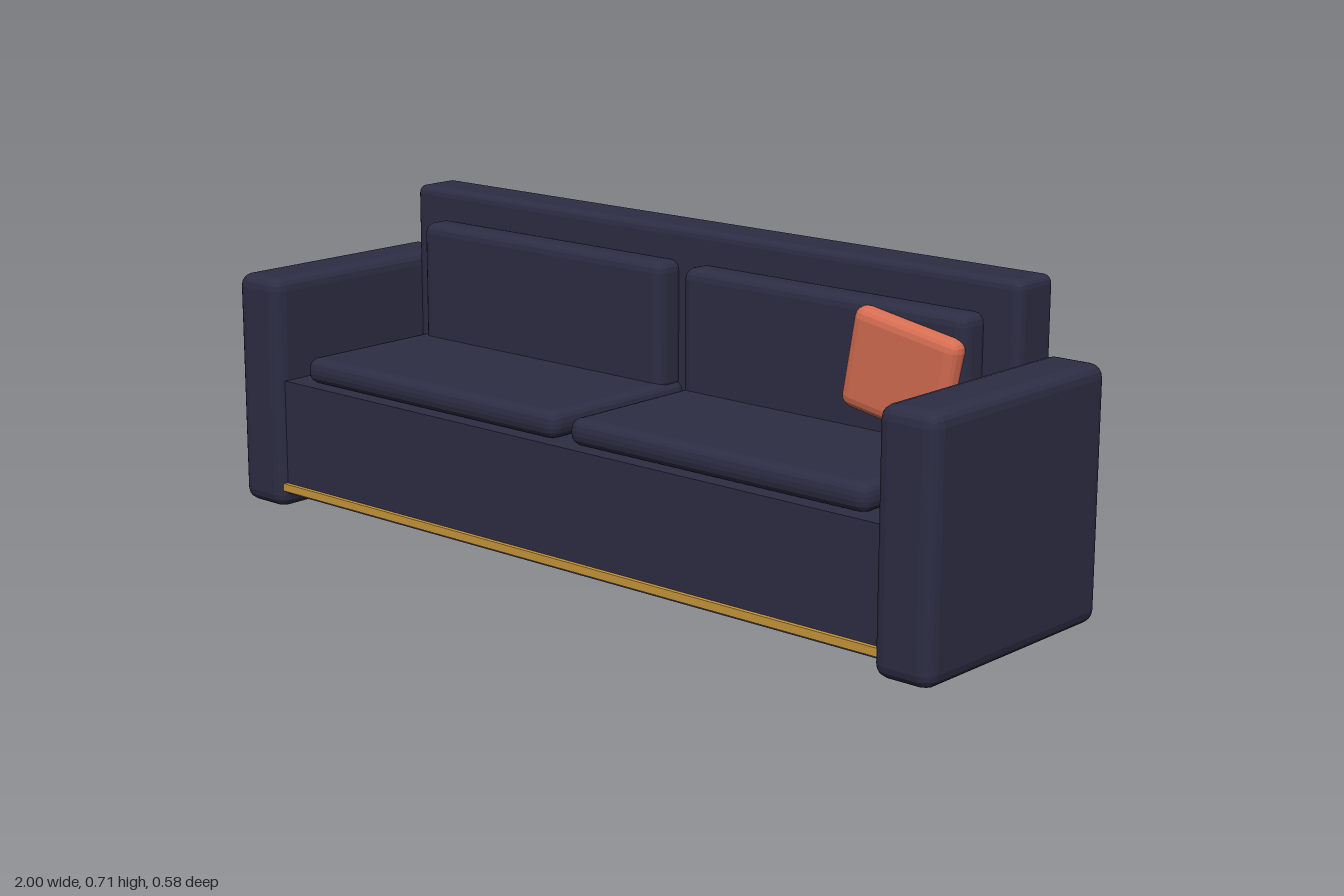
import * as THREE from 'three';
import { RoundedBoxGeometry } from 'three/addons/geometries/RoundedBoxGeometry.js';

export function createModel() {
  const sofa = new THREE.Group();
  sofa.name = 'sofa';

  const fabric = new THREE.MeshStandardMaterial({ name: 'navyFabric', color: 0x2d2d44, flatShading: true });
  const pillowCloth = new THREE.MeshStandardMaterial({ name: 'terracottaCloth', color: 0xd66d52, flatShading: true });
  const brass = new THREE.MeshStandardMaterial({ name: 'brass', color: 0xc9973a, flatShading: true });

  // Box given by its min and max corners; a radius adds a two-step bevel
  function block(name, material, [x0, y0, z0], [x1, y1, z1], radius = 0) {
    const w = x1 - x0, h = y1 - y0, d = z1 - z0;
    const geometry = radius
      ? new RoundedBoxGeometry(w, h, d, 2, radius)
      : new THREE.BoxGeometry(w, h, d);
    const mesh = new THREE.Mesh(geometry, material);
    mesh.name = name;
    mesh.position.set((x0 + x1) / 2, (y0 + y1) / 2, (z0 + z1) / 2);
    sofa.add(mesh);
    return mesh;
  }

  // Frame
  block('base', fabric, [-0.865, 0.035, -0.28], [0.865, 0.305, 0.27]);
  block('backrest', fabric, [-0.87, 0.295, -0.285], [0.87, 0.71, -0.165], 0.02);
  block('frontTrim', brass, [-0.87, 0.042, 0.262], [0.87, 0.06, 0.28]);

  // Arms and cushions, mirrored left and right
  for (const [side, s] of [['left', 1], ['right', -1]]) {
    const pair = (name, [x0, y0, z0], [x1, y1, z1], r) =>
      block(side + name, fabric,
        [Math.min(s * x0, s * x1), y0, z0], [Math.max(s * x0, s * x1), y1, z1], r);
    pair('Arm', [0.86, 0, -0.29], [1, 0.545, 0.29], 0.03);
    pair('SeatCushion', [0.02, 0.305, -0.18], [0.812, 0.365, 0.25], 0.025);
    pair('BackCushion', [0.03, 0.34, -0.18], [0.785, 0.637, -0.1], 0.025);
  }

  // Tilted throw pillow leaning on the left back cushion
  const pillow = block('throwPillow', pillowCloth, [0.501, 0.388, -0.126], [0.769, 0.61, -0.07], 0.026);
  pillow.rotation.z = -0.17;

  return sofa;
}
